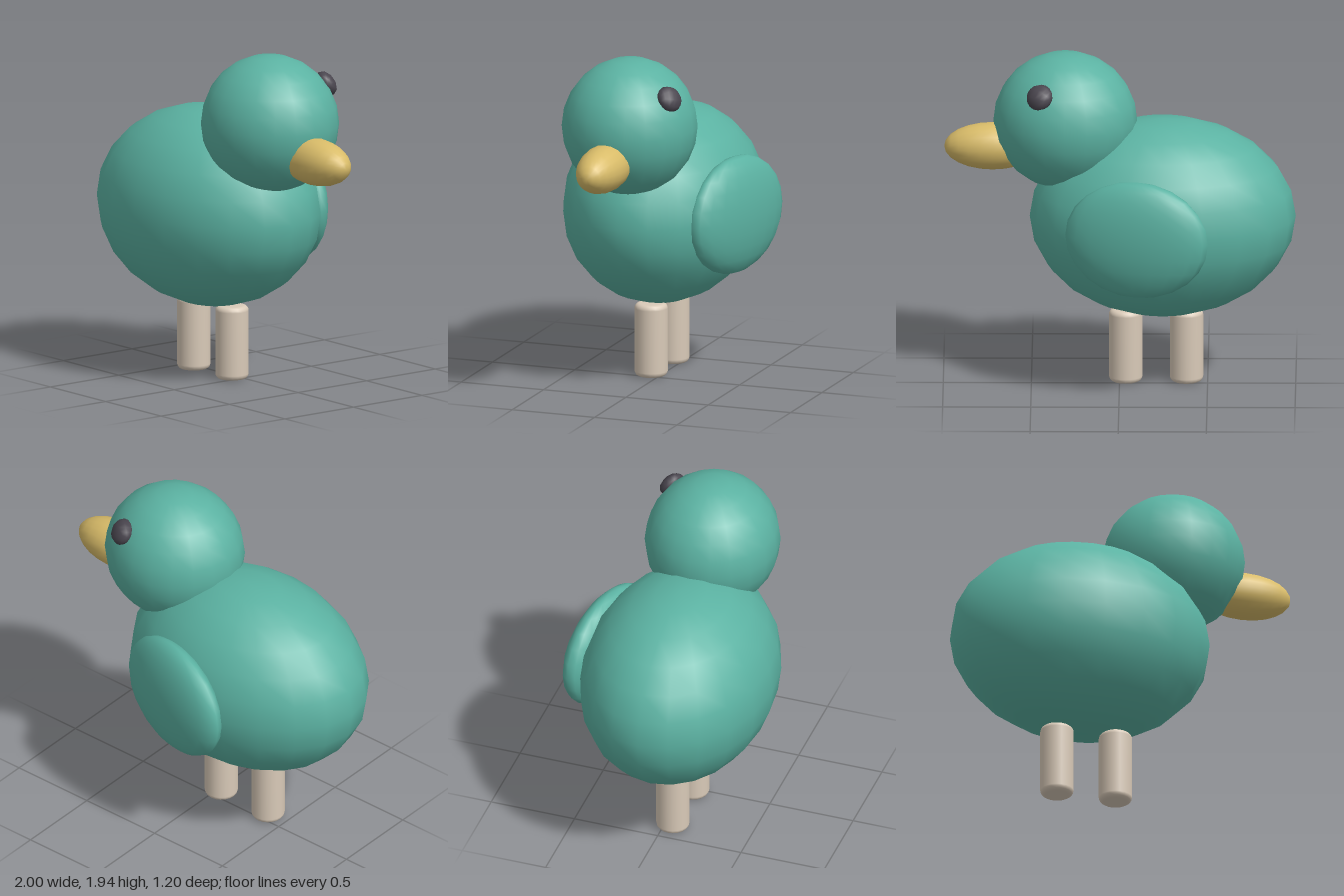
import * as THREE from 'three';

const material = (name, color) => {
  const m = new THREE.MeshStandardMaterial({ color });
  m.name = name;
  return m;
};

export function createModel() {
  const bird = new THREE.Group();
  bird.name = 'bird';
  const teal = material('teal plumage', 0x5bb2a2);
  const yellow = material('yellow beak', 0xd9bc69);
  const beige = material('beige legs', 0xd9cab8);
  const dark = material('dark eye', 0x4a464f);

  const add = (name, geometry, mat, position) => {
    const mesh = new THREE.Mesh(geometry, mat);
    mesh.name = name;
    mesh.position.set(...position);
    bird.add(mesh);
    return mesh;
  };
  // Ellipsoid with baked radii, so normals stay correct
  const ellipsoid = (rx, ry, rz, w = 20, h = 12) =>
    new THREE.SphereGeometry(1, w, h).scale(rx, ry, rz);

  const midZ = 0.05;
  const headCentre = new THREE.Vector3(0.308, 1.54, midZ);

  // Body, head and beak
  add('body', ellipsoid(0.755, 0.575, 0.55), teal, [-0.245, 0.975, midZ]);
  add('head', ellipsoid(0.408, 0.395, 0.384), teal, headCentre.toArray());
  const beak = ellipsoid(0.135, 0.275, 0.135, 20, 12).rotateZ(-Math.PI / 2);
  add('beak', beak, yellow, [0.72, 1.385, midZ]);

  // Single wing, splayed out towards the tail
  const wing = add('wing', ellipsoid(0.42, 0.34, 0.13), teal, [-0.1, 0.97, -0.437]);
  wing.rotation.y = -THREE.MathUtils.degToRad(15);

  // Single eye, lying flat against the head
  const eye = add('eye', ellipsoid(0.077, 0.077, 0.05, 10, 8), dark, [0.452, 1.755, -0.245]);
  const outward = eye.position.clone().sub(headCentre).normalize();
  eye.quaternion.setFromUnitVectors(new THREE.Vector3(0, 0, 1), outward);

  // Legs: cylinders with rounded rims
  const r = 0.095, height = 0.425, bevel = 0.03;
  const profile = [new THREE.Vector2(0, 0)];
  for (let i = 0; i <= 4; i++) {
    const a = (i / 4) * Math.PI / 2;
    profile.push(new THREE.Vector2(r - bevel + bevel * Math.sin(a), bevel - bevel * Math.cos(a)));
  }
  for (let i = 0; i <= 4; i++) {
    const a = (i / 4) * Math.PI / 2;
    profile.push(new THREE.Vector2(r - bevel + bevel * Math.cos(a), height - bevel + bevel * Math.sin(a)));
  }
  profile.push(new THREE.Vector2(0, height));
  const legGeometry = new THREE.LatheGeometry(profile, 20);
  add('rearLeg', legGeometry, beige, [-0.38, 0, midZ]);
  add('frontLeg', legGeometry, beige, [-0.035, 0, midZ]);

  return bird;
}
